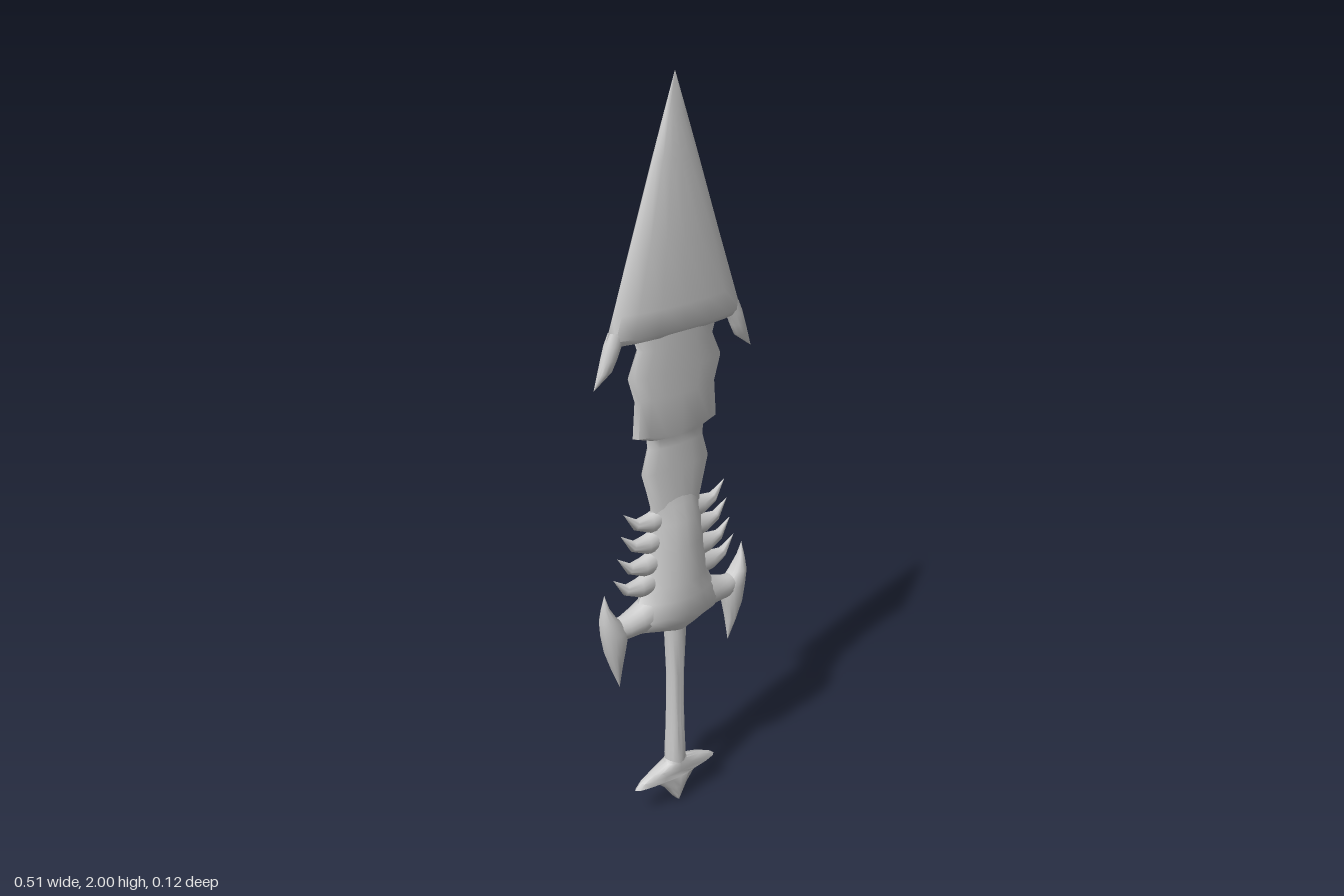
import * as THREE from 'three';
import { toCreasedNormals } from 'three/addons/utils/BufferGeometryUtils.js';

const material = new THREE.MeshStandardMaterial({ color: 0xcccccc });
const SIDES = 16;

// Skins lens-shaped sections. Each row is a chord from (ax, ay) to (bx, by)
// with half thickness t; a higher power pinches the lens into a ridge.
function loft(name, rows, power = 1) {
  const pos = [], index = [];
  for (const [ax, ay, bx, by, t] of rows) {
    for (let j = 0; j < SIDES; j++) {
      const a = (j / SIDES) * Math.PI * 2, s = Math.sin(a);
      const k = (Math.cos(a) + 1) / 2;
      pos.push(ax + (bx - ax) * k, ay + (by - ay) * k, Math.sign(s) * Math.abs(s) ** power * t);
    }
  }
  for (let i = 0; i < rows.length - 1; i++) {
    for (let j = 0; j < SIDES; j++) {
      const a = i * SIDES + j, b = i * SIDES + (j + 1) % SIDES;
      index.push(a, b, a + SIDES, b, b + SIDES, a + SIDES);
    }
  }
  const geo = new THREE.BufferGeometry();
  geo.setAttribute('position', new THREE.Float32BufferAttribute(pos, 3));
  geo.setIndex(index);
  const mesh = new THREE.Mesh(toCreasedNormals(geo, 0.8), material);
  mesh.name = name;
  return mesh;
}

// Symmetric section rows [y, half width, half thickness], listed downwards
const centred = (rows) => rows.map(([y, w, t]) => [-w, y, w, y, t]);

export function createModel() {
  const model = new THREE.Group();
  model.name = 'sword';

  // Arrow-shaped blade head
  model.add(loft('bladeHead', centred([
    [2, 0, 0], [1.9, 0.035, 0.012], [1.8, 0.07, 0.022], [1.6, 0.14, 0.036],
    [1.45, 0.193, 0.042], [1.39, 0.214, 0.042], [1.375, 0.2, 0.03], [1.37, 0.18, 0],
  ])));

  // Notched blade shaft
  model.add(loft('bladeShaft', centred([
    [1.42, 0.12, 0.034], [1.38, 0.132, 0.034], [1.345, 0.12, 0.033], [1.28, 0.15, 0.033],
    [1.217, 0.13, 0.03], [1.12, 0.137, 0.03], [1.105, 0.092, 0.026], [1.08, 0.09, 0.026],
    [1.015, 0.11, 0.026], [0.915, 0.08, 0.03], [0.87, 0.08, 0.03],
  ])));

  // Ridged guard body
  model.add(loft('guardBody', centred([
    [0.96, 0.09, 0.024], [0.915, 0.08, 0.034], [0.87, 0.083, 0.046], [0.8, 0.09, 0.053],
    [0.7, 0.104, 0.059], [0.655, 0.125, 0.06], [0.61, 0.165, 0.058], [0.58, 0.155, 0.048],
    [0.565, 0.1, 0.04], [0.55, 0.04, 0.03], [0.548, 0, 0],
  ]), 1.4));

  // Grip
  model.add(loft('grip', centred([
    [0.58, 0.036, 0.027], [0.53, 0.032, 0.026], [0.4, 0.024, 0.024],
    [0.25, 0.025, 0.026], [0.15, 0.031, 0.028], [0.1, 0.031, 0.026],
  ])));

  // Winged pommel
  model.add(loft('pommel', centred([
    [0.145, 0.028, 0.025], [0.13, 0.036, 0.027], [0.115, 0.09, 0.027], [0.1, 0.125, 0.026],
    [0.085, 0.143, 0.024], [0.082, 0.075, 0.026], [0.05, 0.038, 0.025], [0.025, 0.02, 0.023],
    [0.004, 0.004, 0.018], [0, 0, 0],
  ])));

  // Side parts, built on the left and turned half round for the right
  for (const side of ['left', 'right']) {
    const group = new THREE.Group();
    group.name = side + 'Barbs';
    if (side === 'right') group.rotation.y = Math.PI;

    // Barb under the blade head
    group.add(loft('headBarb', [
      [0.15, 1.41, 0.205, 1.41, 0.018], [0.172, 1.375, 0.218, 1.38, 0.02],
      [0.185, 1.345, 0.23, 1.345, 0.018], [0.199, 1.315, 0.241, 1.315, 0.012],
      [0.255, 1.275, 0.255, 1.275, 0],
    ]));

    // Upswept spikes along the guard
    for (const [x, y] of [[0.17, 0.925], [0.18, 0.868], [0.192, 0.808], [0.206, 0.752]]) {
      group.add(loft('spike', [
        [x - 0.12, y - 0.08, x - 0.12, y - 0.01, 0.024],
        [x - 0.082, y - 0.075, x - 0.085, y - 0.022, 0.022],
        [x - 0.035, y - 0.054, x - 0.045, y - 0.027, 0.013],
        [x, y, x, y, 0],
      ]));
    }

    // Guard arm and crescent claw
    group.add(loft('guardArm', [
      [0.08, 0.565, 0.08, 0.68, 0.04], [0.13, 0.572, 0.13, 0.652, 0.036],
      [0.17, 0.572, 0.17, 0.638, 0.03], [0.215, 0.58, 0.215, 0.635, 0.022],
    ]));
    group.add(loft('guardClaw', [
      [0.235, 0.72, 0.235, 0.72, 0], [0.222, 0.68, 0.243, 0.68, 0.012],
      [0.2, 0.645, 0.248, 0.64, 0.024], [0.16, 0.605, 0.245, 0.6, 0.029],
      [0.172, 0.55, 0.235, 0.55, 0.025], [0.182, 0.5, 0.217, 0.5, 0.016],
      [0.19, 0.433, 0.19, 0.433, 0],
    ]));
    model.add(group);
  }
  return model;
}
